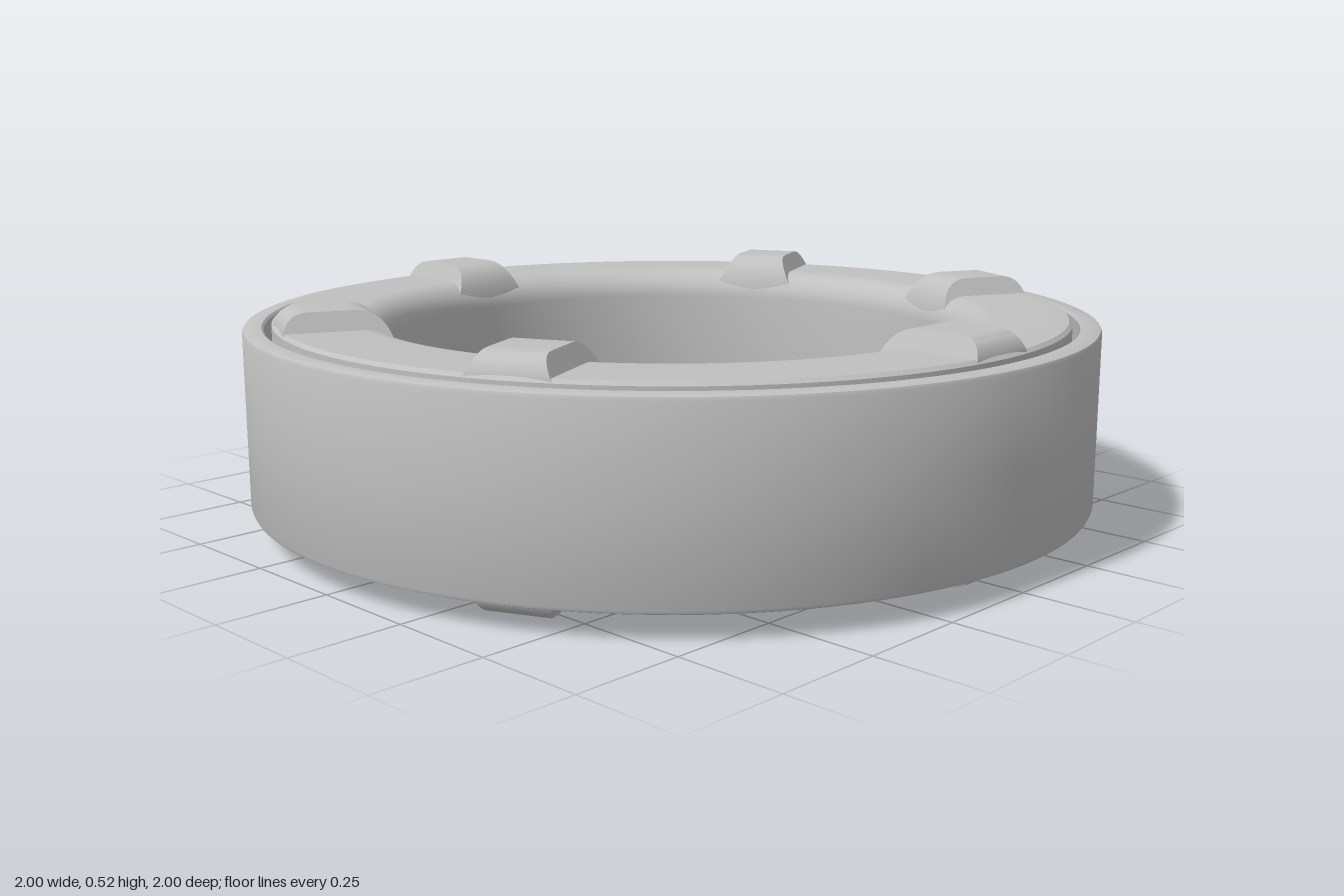
import * as THREE from 'three';
import { toCreasedNormals } from 'three/addons/utils/BufferGeometryUtils.js';

const MID = 0.2625; // height of the mirror plane

// Ring body: outer band, narrow groove and rounded inner ring, mirrored top to bottom
function ringGeometry() {
  const upper = [
    [1, 0], [1, 0.198], [0.997, 0.205], [0.99, 0.208], [0.957, 0.208], [0.952, 0.203],
    [0.952, 0.1], [0.935, 0.1], [0.935, 0.212], [0.927, 0.22],
  ].map(([r, y]) => new THREE.Vector2(r, y));
  for (let i = 0; i <= 8; i++) {
    const a = (i / 8) * Math.PI / 2;
    upper.push(new THREE.Vector2(0.755 - 0.075 * Math.sin(a), 0.15 + 0.07 * Math.cos(a)));
  }
  upper.push(new THREE.Vector2(0.68, 0));
  const lower = upper.slice(0, -1).reverse().map((p) => new THREE.Vector2(p.x, -p.y));
  return toCreasedNormals(new THREE.LatheGeometry([...upper, ...lower], 128), 0.6);
}

// Radial lug: rounded side profile, tapering in width towards its top
function lugGeometry() {
  const s = new THREE.Shape();
  s.moveTo(0.684, 0.11);
  s.lineTo(0.684, 0.17);
  s.quadraticCurveTo(0.695, 0.2625, 0.77, 0.2625);
  s.lineTo(0.87, 0.2625);
  s.quadraticCurveTo(0.918, 0.2625, 0.928, 0.215);
  s.lineTo(0.928, 0.11);
  s.closePath();
  const g = new THREE.ExtrudeGeometry(s, { depth: 1, bevelEnabled: false, curveSegments: 8 });
  const p = g.attributes.position;
  for (let i = 0; i < p.count; i++) {
    const half = 0.088 + (0.22 - p.getY(i)) * 0.5;
    p.setZ(i, (p.getZ(i) - 0.5) * 2 * half);
  }
  return toCreasedNormals(g, 0.6);
}

export function createModel() {
  const grey = new THREE.MeshStandardMaterial({ color: 0xc0c0c0 });
  grey.name = 'grey';
  const model = new THREE.Group();
  model.name = 'ring';

  const body = new THREE.Mesh(ringGeometry(), grey);
  body.name = 'ringBody';
  body.position.y = MID;
  model.add(body);

  // Six lugs on each face
  const lug = lugGeometry();
  for (const degrees of [0, 65, 115, 180, 245, 295]) {
    const pair = new THREE.Group();
    pair.name = 'lugPair';
    pair.position.y = MID;
    pair.rotation.y = THREE.MathUtils.degToRad(degrees);
    for (const name of ['topLug', 'bottomLug']) {
      const mesh = new THREE.Mesh(lug, grey);
      mesh.name = name;
      if (name === 'bottomLug') mesh.rotation.x = Math.PI;
      pair.add(mesh);
    }
    model.add(pair);
  }
  return model;
}
